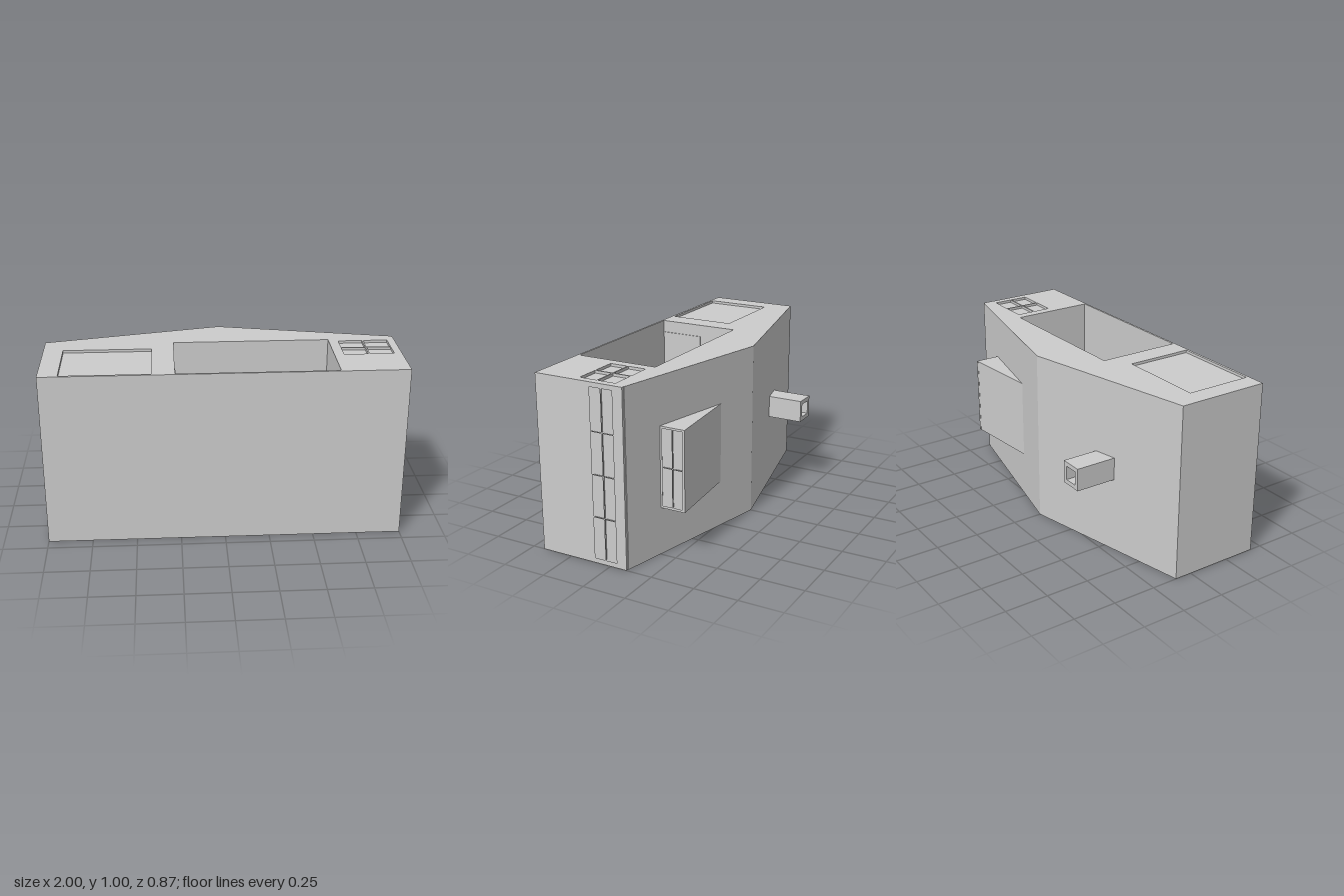
import * as THREE from 'three';

const RECESS = 0.015;

// Closed path from [a, b] points
function path(points, Type = THREE.Path) {
  const p = new Type();
  p.setFromPoints(points.map(([a, b]) => new THREE.Vector2(a, b)));
  p.closePath();
  return p;
}

const rect = (a0, b0, a1, b1) => [[a0, b0], [a1, b0], [a1, b1], [a0, b1]];

function extrude(points, holes, depth) {
  const shape = path(points, THREE.Shape);
  shape.holes = holes.map((h) => path(h));
  return new THREE.ExtrudeGeometry(shape, { depth, bevelEnabled: false });
}

// Extrude an (x, z) outline upward from y0 to y1
function alongY(points, holes, y0, y1) {
  const flip = (list) => list.map(([x, z]) => [x, -z]);
  return extrude(flip(points), holes.map(flip), y1 - y0).rotateX(-Math.PI / 2).translate(0, y0, 0);
}

// Extrude a (z, y) outline sideways from x0 to x1
function alongX(points, holes, x0, x1) {
  const flip = (list) => list.map(([z, y]) => [-z, y]);
  return extrude(flip(points), holes.map(flip), x1 - x0).rotateY(Math.PI / 2).translate(x0, 0, 0);
}

// Grid of window panes between the given column and row spans
function panes(columns, rows) {
  return columns.flatMap(([a0, a1]) => rows.map(([b0, b1]) => rect(a0, b0, a1, b1)));
}

export function createModel() {
  const group = new THREE.Group();
  const grey = new THREE.MeshStandardMaterial({ color: 0xcccccc });
  grey.name = 'plain grey';
  const add = (name, geometry) => {
    const mesh = new THREE.Mesh(geometry, grey);
    mesh.name = name;
    group.add(mesh);
    return mesh;
  };

  // House block with gabled outline and a passage right through it
  const side = 1 - RECESS;
  const eave = -0.1 - 0.225 * RECESS;
  const outline = [[-1, 0.43], [side, 0.43], [side, eave], [0, -0.325], [-1, -0.1]];
  const passage = rect(-0.27, -0.06, 0.62, 0.418);
  add('houseBody', alongY(outline, [passage], 0, 1 - RECESS));

  // Gable wall with the sunken garage door and four window panes
  const garage = rect(-0.89, 0.035, -0.395, 0.415);
  const gablePanes = panes([[0.675, 0.812], [0.82, 0.957]], [[-0.035, 0.07], [0.078, 0.18]]);
  add('gableWall', alongY(outline, [passage, garage, ...gablePanes], 1 - RECESS, 1));

  // Long side wall with a two by four run of panes
  const sidePanes = panes(
    [[-0.04, 0.024], [0.031, 0.095]],
    [[0.028, 0.262], [0.268, 0.5], [0.506, 0.736], [0.742, 0.974]]
  );
  add('sideWall', alongX(rect(-0.1, 0, 0.43, 1), sidePanes, side, 1));

  // Small door on the passage wall
  const door = add('passageDoor', new THREE.BoxGeometry(0.006, 0.23, 0.25));
  door.position.set(-0.268, 0.815, 0.287);

  // Dormer wedge and its window front
  const front = 0.743;
  add('dormerBody', alongY(
    [[0.265, -0.264], [0.4, -0.15], [front - RECESS, -0.15], [front - RECESS, -0.303]],
    [], 0.27, 0.73
  ));
  const dormerPanes = panes([[-0.291, -0.234], [-0.228, -0.17]], [[0.284, 0.499], [0.504, 0.718]]);
  add('dormerWindow', alongX(rect(-0.304, 0.27, -0.15, 0.73), dormerPanes, front - RECESS, front));

  // Chimney: solid base with a hollow square mouth
  const base = add('chimneyBase', new THREE.BoxGeometry(0.13, 0.13, 0.21));
  base.position.set(-0.5, 0.5, -0.255);
  const mouth = extrude(
    rect(-0.065, -0.065, 0.065, 0.065),
    [rect(-0.04, -0.04, 0.04, 0.04)],
    0.075
  );
  add('chimneyMouth', mouth).position.set(-0.5, 0.5, -0.435);

  return group;
}
